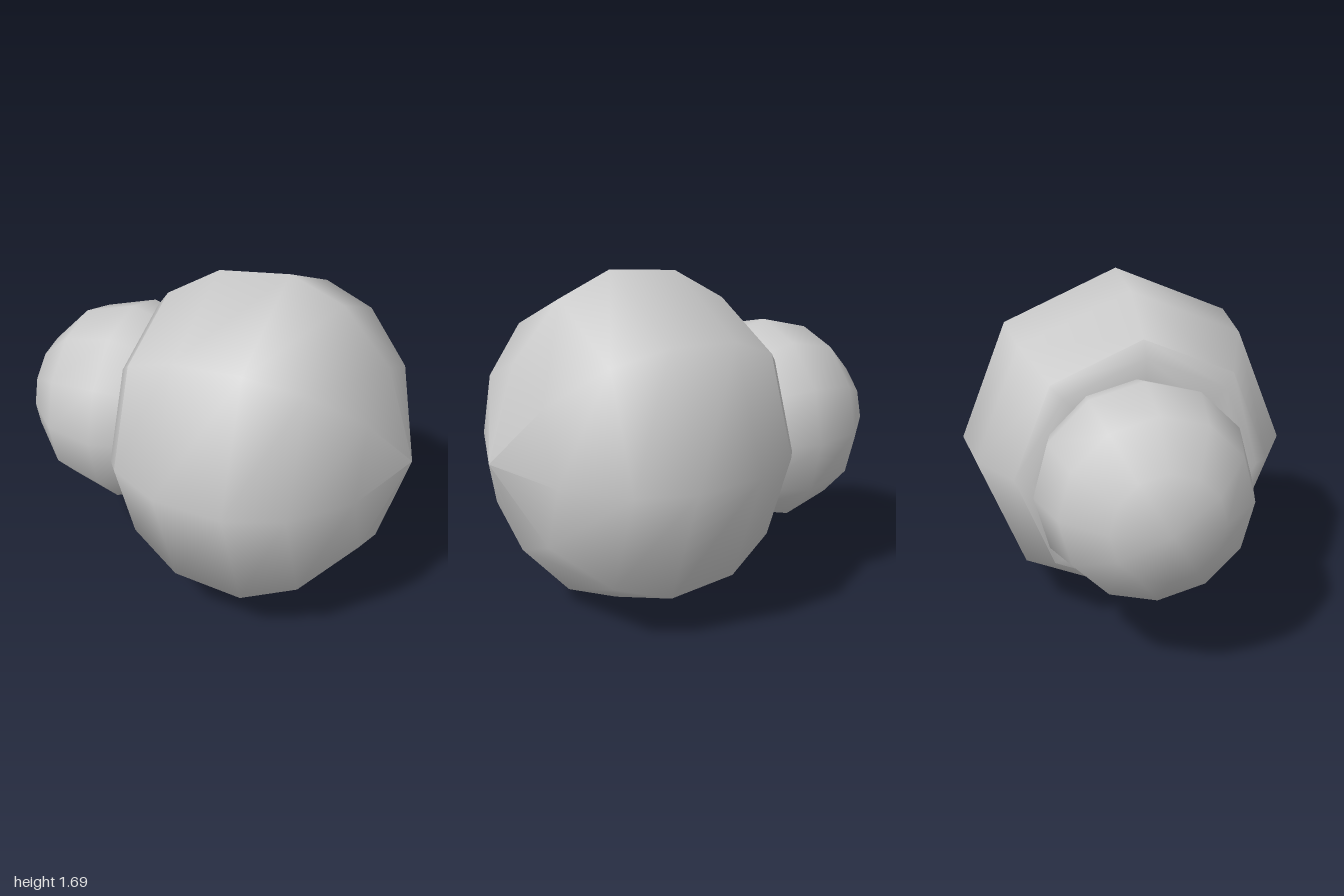
import * as THREE from 'three';

const CENTER_Y = 0.845;
const material = new THREE.MeshStandardMaterial({ color: 0xcccccc });

// Eight-sided turned shape lying along x; profile is [radius, x] from -x to +x
function turned(name, profile) {
  const points = profile.map(([r, x]) => new THREE.Vector2(r, x));
  const geometry = new THREE.LatheGeometry(points, 8);
  geometry.rotateZ(-Math.PI / 2);
  geometry.scale(1, 1, 0.96);
  const mesh = new THREE.Mesh(geometry, material);
  mesh.name = name;
  mesh.position.y = CENTER_Y;
  return mesh;
}

export function createModel() {
  const group = new THREE.Group();
  group.name = 'knob';

  // Large rounded head
  group.add(turned('head', [
    [0.65, -0.26], [0.81, 0.01], [0.845, 0.36],
    [0.735, 0.62], [0.465, 0.855], [0, 1],
  ]));

  // Bevelled rim and flat face behind the head
  group.add(turned('rim', [
    [0, -0.315], [0.45, -0.317], [0.575, -0.315], [0.65, -0.26],
  ]));

  // Small ball set into the rim, poles along x
  const geometry = new THREE.SphereGeometry(0.52, 12, 6);
  geometry.rotateZ(Math.PI / 2);
  const ball = new THREE.Mesh(geometry, material);
  ball.name = 'ball';
  ball.position.set(-0.48, 0.848, -0.045);
  group.add(ball);

  return group;
}
